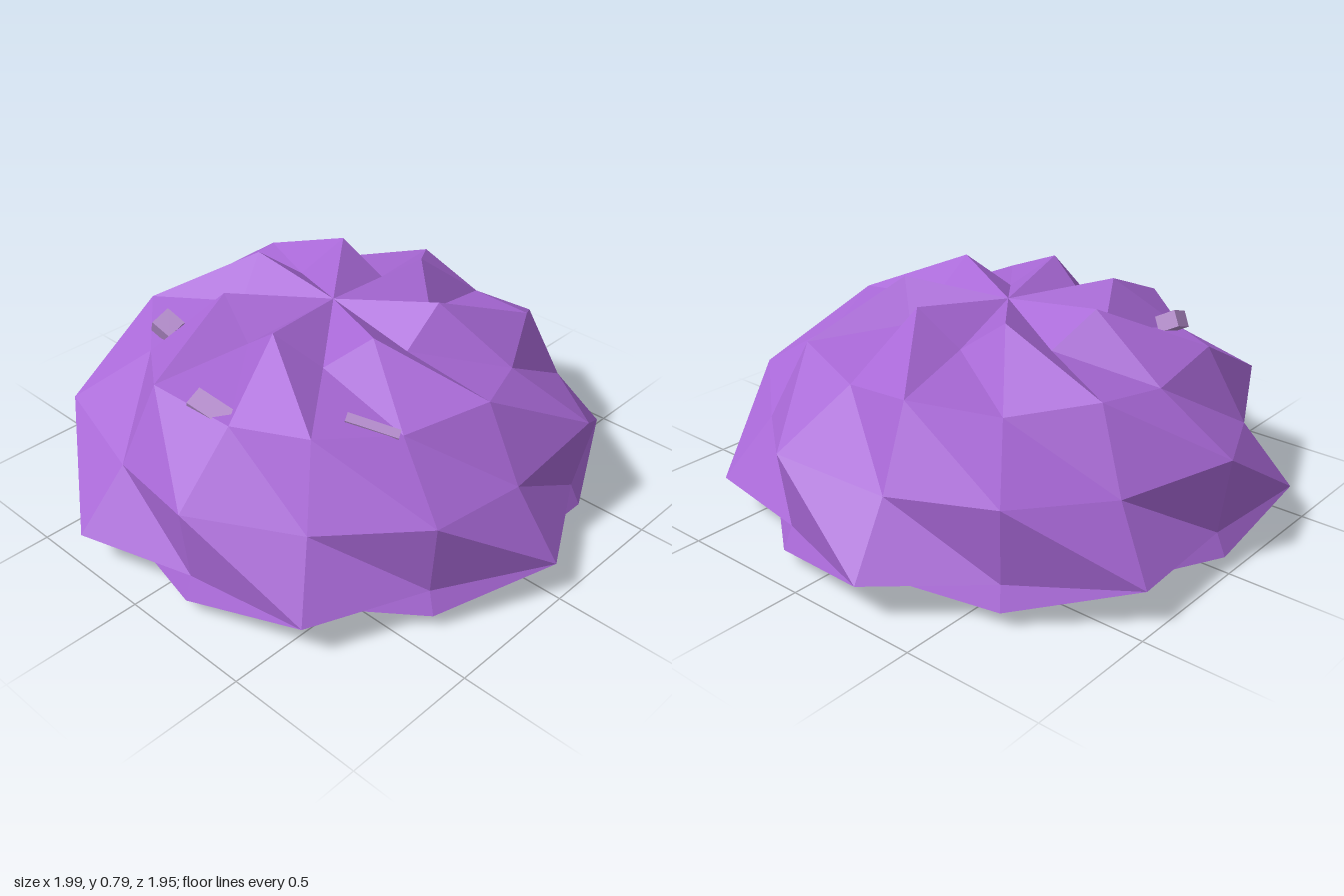
import * as THREE from 'three';

const SEGMENTS = 14;
const CENTRE_Z = -0.05;

// Each ring alternates two points: [even radius, even height, odd radius, odd height]
const RINGS = [
  [0, 0.74, 0, 0.74],
  [0.38, 0.79, 0.347, 0.67],
  [0.648, 0.58, 0.705, 0.63],
  [0.93, 0.41, 0.845, 0.36],
  [0.895, 0.135, 1.022, 0.135],
  [0.93, 0.055, 0.845, 0.065],
  [0.648, 0.035, 0.705, 0.023],
  [0.38, 0, 0.347, 0.03],
  [0, 0.015, 0, 0.015],
];

function ringPoint(ring, k) {
  const odd = k % 2;
  const r = RINGS[ring][odd * 2];
  const angle = (k * 2 * Math.PI) / SEGMENTS;
  return [r * Math.sin(angle), RINGS[ring][odd * 2 + 1], CENTRE_Z - r * Math.cos(angle)];
}

// Faceted dome with a puckered top and a shallow underside
function shellGeometry() {
  const positions = [];
  const last = RINGS.length - 2;
  for (let i = 0; i <= last; i++) {
    for (let k = 0; k < SEGMENTS; k++) {
      const a = ringPoint(i, k), b = ringPoint(i, k + 1);
      const c = ringPoint(i + 1, k + 1), d = ringPoint(i + 1, k);
      const upper = i < 4;
      const first = upper ? [a, b, d] : [a, b, c];
      const second = upper ? [b, c, d] : [a, c, d];
      if (i > 0) positions.push(...first.flat());
      if (i < last) positions.push(...second.flat());
    }
  }
  const geometry = new THREE.BufferGeometry();
  geometry.setAttribute('position', new THREE.Float32BufferAttribute(positions, 3));
  geometry.computeVertexNormals();
  return geometry;
}

export function createModel() {
  const model = new THREE.Group();
  model.name = 'facetedShell';

  const shellPurple = new THREE.MeshStandardMaterial({ color: 0xa868d6 });
  shellPurple.name = 'shellPurple';
  const chipLilac = new THREE.MeshStandardMaterial({ color: 0xb48ccc });
  chipLilac.name = 'chipLilac';

  const shell = new THREE.Mesh(shellGeometry(), shellPurple);
  shell.name = 'shell';
  model.add(shell);

  // Small chips sunk into the right side: size, position, rotation
  const chips = [
    [[0.08, 0.06, 0.08], [-0.415, 0.635, -0.465], [0.5, 0.2, 0.25]],
    [[0.07, 0.05, 0.16], [-0.615, 0.585, 0.0], [0.35, 0.25, 0.3]],
    [[0.035, 0.06, 0.18], [-0.335, 0.585, 0.445], [0.3, 0.55, 0.2]],
  ];
  chips.forEach(([size, position, rotation], i) => {
    const chip = new THREE.Mesh(new THREE.BoxGeometry(...size), chipLilac);
    chip.name = `chip${i + 1}`;
    chip.position.set(...position);
    chip.rotation.set(...rotation);
    model.add(chip);
  });

  return model;
}
